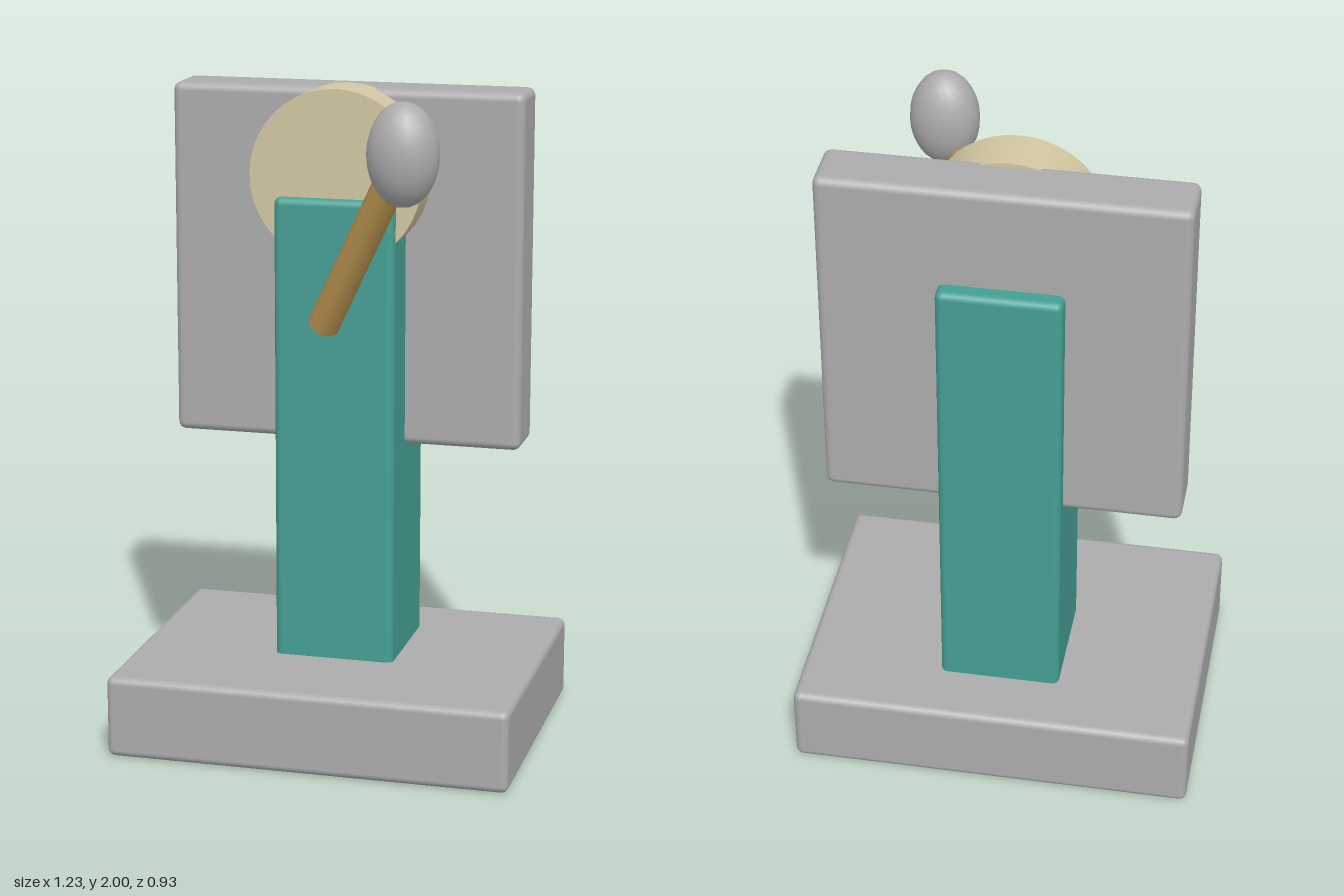
import * as THREE from 'three';
import { RoundedBoxGeometry } from 'three/addons/geometries/RoundedBoxGeometry.js';

export function createModel() {
  const model = new THREE.Group();
  const material = (name, color) => {
    const m = new THREE.MeshStandardMaterial({ color });
    m.name = name;
    return m;
  };
  const grey = material('grey', 0xacacac);
  const teal = material('teal', 0x459f94);
  const cream = material('cream', 0xd2c7a2);
  const wood = material('wood', 0xb8924f);

  const add = (name, geometry, mat, x, y, z) => {
    const mesh = new THREE.Mesh(geometry, mat);
    mesh.name = name;
    mesh.position.set(x, y, z);
    model.add(mesh);
    return mesh;
  };
  // Rounded block given by its lower and upper corners, centred on x
  const block = (name, mat, halfWidth, y0, y1, z0, z1, radius) =>
    add(name, new RoundedBoxGeometry(halfWidth * 2, y1 - y0, z1 - z0, 3, radius),
      mat, 0, (y0 + y1) / 2, (z0 + z1) / 2);

  block('base', grey, 0.613, 0, 0.25, -0.467, 0.452, 0.022);
  block('column', teal, 0.184, 0.12, 1.663, -0.276, 0.107, 0.022);
  block('backPlate', grey, 0.537, 0.898, 1.972, -0.222, -0.041, 0.024);

  // Round disc facing forward, sunk into the plate
  const disc = add('disc', new THREE.CylinderGeometry(0.261, 0.261, 0.155, 40), cream, 0, 1.725, 0.008);
  disc.rotation.x = Math.PI / 2;

  // Mallet tilted in front of the column
  const tip = new THREE.Vector3(0, 1.31, 0.225);
  const head = new THREE.Vector3(0.275, 1.85, 0.377);
  const axis = head.clone().sub(tip);
  const middle = tip.clone().add(head).multiplyScalar(0.5);
  const handle = add('malletHandle', new THREE.CylinderGeometry(0.047, 0.047, axis.length(), 8),
    wood, middle.x, middle.y, middle.z);
  handle.quaternion.setFromUnitVectors(new THREE.Vector3(0, 1, 0), axis.normalize());

  const headMesh = add('malletHead', new THREE.SphereGeometry(1, 20, 14), grey, head.x, head.y, head.z);
  headMesh.scale.set(0.105, 0.15, 0.09);

  return model;
}
